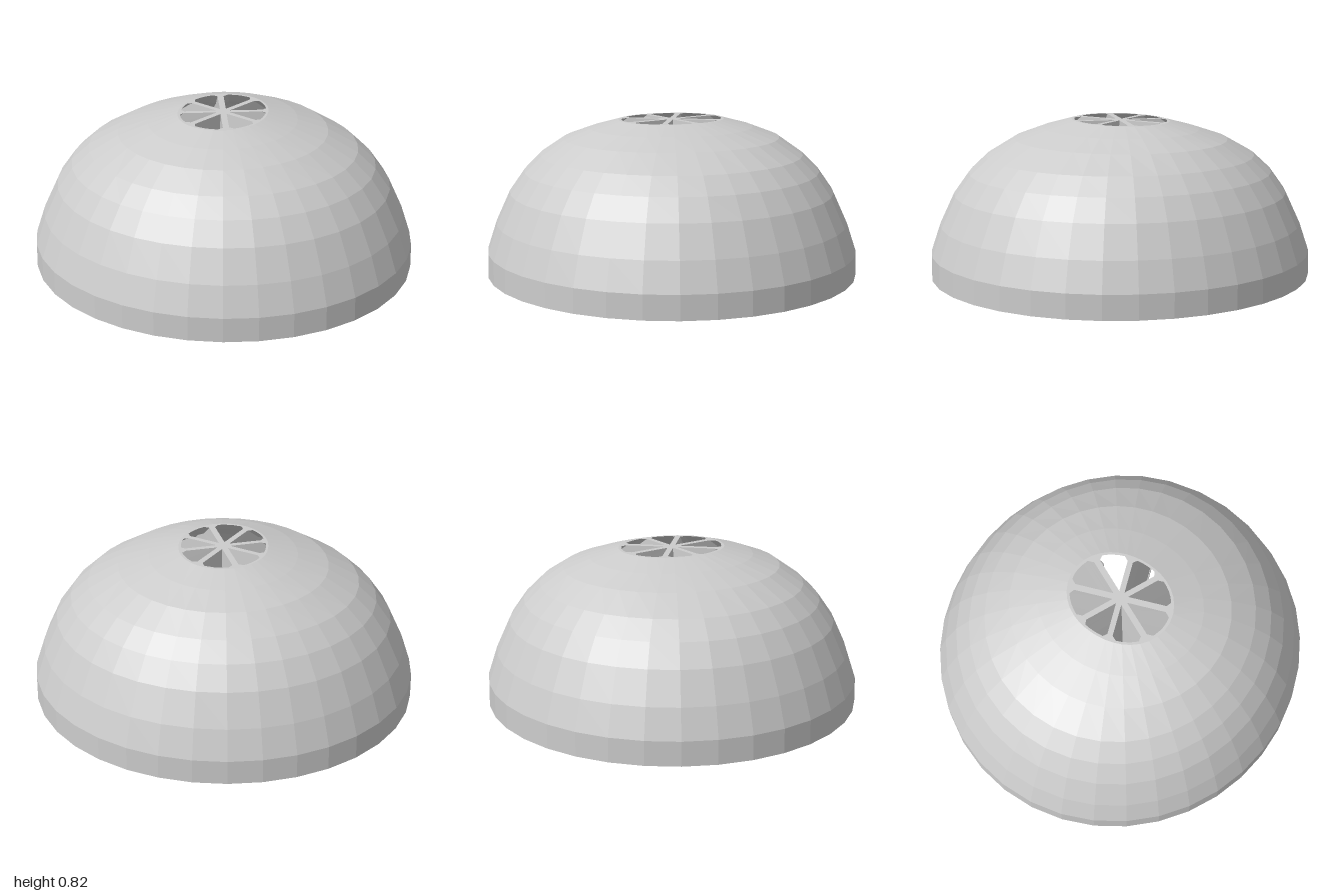
import * as THREE from 'three';

const CELLS = 8;
const SIDES = 36;
const STEP = (Math.PI * 2) / CELLS;
const FIRST = THREE.MathUtils.degToRad(26.5); // angle of the first membrane
const BASE = 0.015;
const TOP = 0.825;

// dome profile, bottom to top: [radius, height]
const OUTER = [[0.994, BASE], [0.992, 0.14], [0.942, 0.29], [0.868, 0.45], [0.79, 0.56], [0.7, 0.645], [0.56, 0.73], [0.41, 0.783], [0.257, TOP]];

// cell levels, bottom to top: [outer radius, height, half thickness of the membrane]
const LEVELS = [
  [0.91, BASE, 0.048], [0.91, 0.055, 0.048], [0.925, 0.055, 0.044], [0.915, 0.14, 0.042], [0.87, 0.28, 0.037],
  [0.8, 0.42, 0.033], [0.725, 0.53, 0.029], [0.635, 0.61, 0.026], [0.51, 0.685, 0.022], [0.37, 0.745, 0.019], [0.243, TOP, 0.015],
];

const polar = (r, a) => new THREE.Vector2(r * Math.cos(a), r * Math.sin(a));

// makes the fruit slightly oval: one diagonal is longer low down, the other at the top
function makeOval(geometry) {
  const pos = geometry.attributes.position;
  for (let i = 0; i < pos.count; i++) {
    const [x, y, z] = [pos.getX(i), pos.getY(i), pos.getZ(i)];
    const angle = 2 * Math.atan2(z, x);
    const rise = THREE.MathUtils.clamp((y - 0.6) / (TOP - 0.6), 0, 1);
    const oval = 0.016 - 0.11 * rise * rise;
    const scale = 1 + oval * Math.sin(angle) - 0.005 * Math.cos(angle);
    pos.setXYZ(i, x * scale, y, z * scale);
  }
  geometry.computeVertexNormals();
  return geometry;
}

// wedge outline with cut outer corners
function cellOutline(radius, halfWidth, mid) {
  const half = STEP / 2;
  const side = r => half - Math.asin(halfWidth / r);
  const points = [polar(halfWidth / Math.sin(half), mid)];
  points.push(polar(radius * 0.91, mid - side(radius * 0.91)));
  const arc = side(radius) * 0.72;
  for (let i = 0; i <= 4; i++) points.push(polar(radius, mid - arc + (arc * i) / 2));
  points.push(polar(radius * 0.91, mid + side(radius * 0.91)));
  return points;
}

// flat wheel-like face with one opening per cell
function cutFace(name, outerRadius, [radius, height, halfWidth], material) {
  const rim = Array.from({ length: SIDES }, (_, i) => polar(outerRadius, (i * 2 * Math.PI) / SIDES));
  const shape = new THREE.Shape(rim);
  for (let i = 0; i < CELLS; i++) {
    shape.holes.push(new THREE.Path(cellOutline(radius, halfWidth, FIRST + (i + 0.5) * STEP)));
  }
  const geometry = new THREE.ShapeGeometry(shape).rotateX(Math.PI / 2).translate(0, height, 0);
  const mesh = new THREE.Mesh(makeOval(geometry), material);
  mesh.name = name;
  return mesh;
}

// walls of one cell, lofted through the levels
function cellGeometry(mid) {
  const positions = [];
  const index = [];
  LEVELS.forEach(([radius, y, halfWidth], k) => {
    const outline = cellOutline(radius, halfWidth, mid);
    const n = outline.length;
    for (const p of outline) positions.push(p.x, y, p.y);
    if (k === 0) return;
    for (let i = 0; i < n; i++) {
      const j = (i + 1) % n;
      const low = (k - 1) * n;
      const high = k * n;
      index.push(low + i, low + j, high + j, low + i, high + j, high + i);
    }
  });
  const geometry = new THREE.BufferGeometry();
  geometry.setAttribute('position', new THREE.Float32BufferAttribute(positions, 3));
  geometry.setIndex(index);
  return makeOval(geometry);
}

export function createModel() {
  const group = new THREE.Group();
  const material = new THREE.MeshStandardMaterial({ color: 0xcccccc, flatShading: true });
  const thin = new THREE.MeshStandardMaterial({ color: 0xcccccc, flatShading: true, side: THREE.DoubleSide });

  // peel: faceted dome, open at the top and bottom
  const profile = OUTER.map(p => new THREE.Vector2(...p));
  const peel = new THREE.Mesh(makeOval(new THREE.LatheGeometry(profile, SIDES)), material);
  peel.name = 'peel';
  group.add(peel);

  // cut faces
  group.add(cutFace('bottomFace', OUTER[0][0], LEVELS[0], thin));
  group.add(cutFace('topFace', OUTER[OUTER.length - 1][0], LEVELS[LEVELS.length - 1], thin));

  // cells running from the bottom face to the top face
  const cells = new THREE.Group();
  cells.name = 'cells';
  for (let i = 0; i < CELLS; i++) {
    const cell = new THREE.Mesh(cellGeometry(FIRST + (i + 0.5) * STEP), material);
    cell.name = 'cell';
    cells.add(cell);
  }
  group.add(cells);

  // teardrop seeds, pointing to the core
  const seeds = new THREE.Group();
  seeds.name = 'seeds';
  const drop = [[0, -0.04], [0.02, -0.035], [0.033, -0.015], [0.03, 0.005], [0.014, 0.03], [0, 0.045]];
  const seedGeometry = new THREE.LatheGeometry(drop.map(p => new THREE.Vector2(...p)), 12);
  seedGeometry.rotateZ(Math.PI / 2);
  const places = [
    [0.51, 0.06, -0.55], [0.5, 0.06, -0.02], [0.2, 0.06, -0.745], [0.41, 0.06, 0.335],
    [-0.235, 0.06, 0.335], [-0.375, 0.06, 0.275], [-0.62, 0.034, 0.01],
  ];
  for (const [x, y, z] of places) {
    const seed = new THREE.Mesh(seedGeometry, material);
    seed.name = 'seed';
    seed.position.set(x, y, z);
    seed.rotation.y = -Math.atan2(z, x);
    seeds.add(seed);
  }
  group.add(seeds);

  return group;
}
